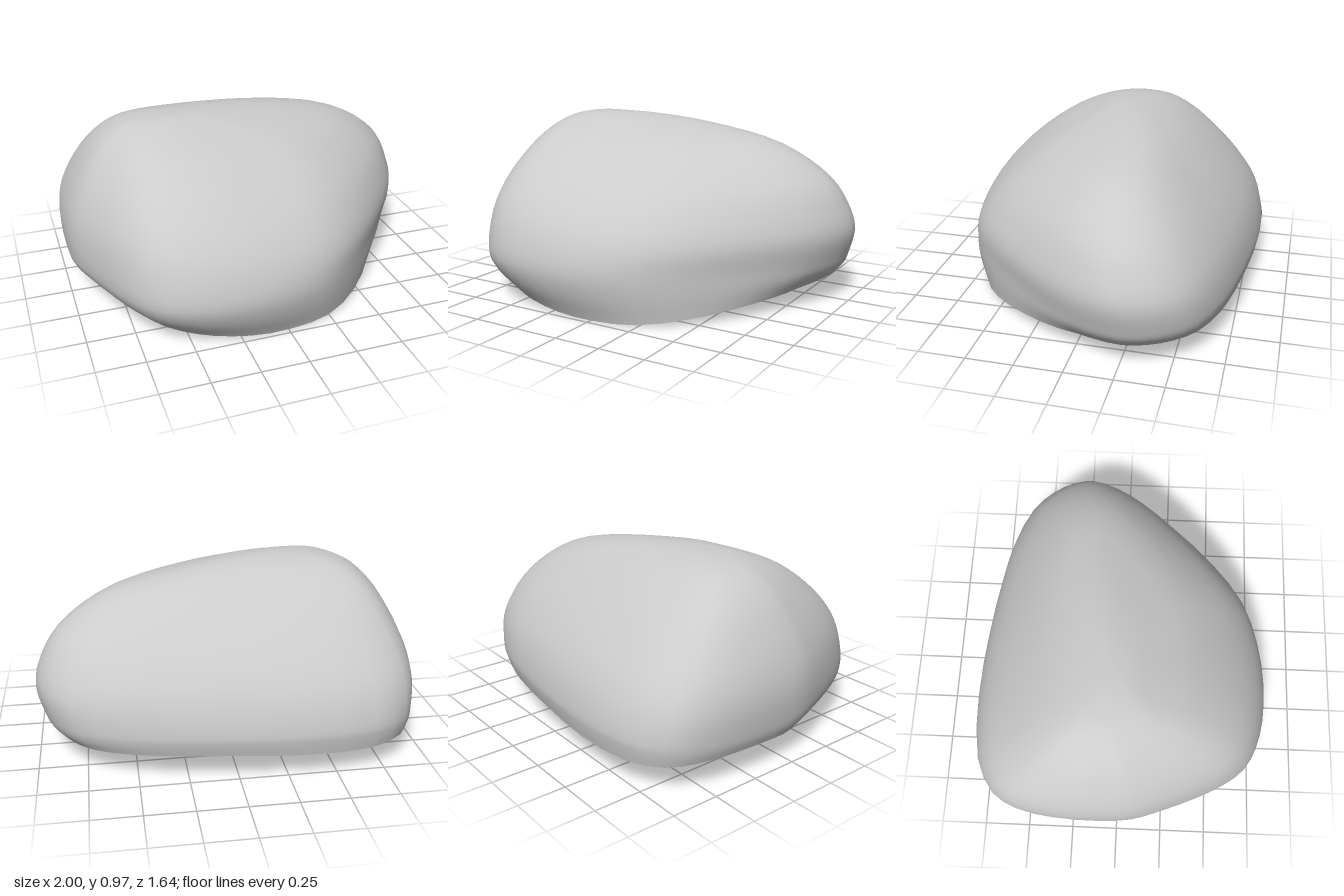
import * as THREE from 'three';

// Widest outline in plan (x, z), running from the back round the left side
const OUTLINE = [
  [-0.68, -0.79], [-0.32, -0.82], [0.05, -0.795], [0.37, -0.75], [0.6, -0.7], [0.81, -0.61],
  [0.92, -0.5], [0.98, -0.38], [1, -0.25], [0.95, -0.07], [0.86, 0.1], [0.7, 0.31],
  [0.49, 0.54], [0.27, 0.71], [0.05, 0.785], [-0.18, 0.815], [-0.4, 0.805], [-0.56, 0.765],
  [-0.68, 0.7], [-0.77, 0.59], [-0.85, 0.44], [-0.94, 0.22], [-0.985, 0.08], [-1, -0.1],
  [-0.99, -0.35], [-0.95, -0.55], [-0.87, -0.69],
];

// Level rings above the rim: height, centre x, scale x, centre z, scale z
const RINGS = [
  [0.25, -0.012, 0.983, 0, 1],
  [0.38, 0, 1, 0, 0.965],
  [0.5, -0.005, 0.975, -0.005, 0.89],
  [0.65, -0.02, 0.9, -0.015, 0.735],
  [0.82, -0.09, 0.72, -0.035, 0.49],
  [0.92, -0.23, 0.45, -0.055, 0.27],
  [0.962, -0.32, 0.2, -0.045, 0.12],
  [0.972, -0.32, 0, -0.04, 0],
];

const AROUND = 54, STEPS = 4;

// How far a plan point lies into the corner on the given sides
const corner = (p, sx, sz) => Math.max(0, p.x * sx) * Math.max(0, p.z * sz);

// The open rim: tucked in at the front right, flared at the front left
function rimPoint(p) {
  const tuck = 1 - 0.15 * corner(p, -1, 1), flare = 0.17 * corner(p, 1, 1);
  const x = (-0.04 + p.x * 0.93) * tuck + flare;
  const z = (-0.03 + p.z * 0.945) * tuck + flare;
  const y = 0.102 - 0.104 * z - 0.055 * z * z + (x < 0 ? 0.05 * x * x : 0)
    + 0.07 * corner(p, -1, 1) - 0.06 * corner(p, -1, -1);
  return new THREE.Vector3(x, Math.max(0, y), z);
}

// A ring point, lifted at the full front right shoulder
function ringPoint(p, [y, cx, sx, cz, sz]) {
  const t = (y - 0.25) / 0.722;
  const lift = t * (1 - t) * (0.42 * corner(p, -1, 1) - 0.12 * corner(p, -1, -1));
  return new THREE.Vector3(cx + p.x * sx, y + lift, cz + p.z * sz);
}

// One smooth meridian from the rim to the crown
function meridian(p) {
  const rim = rimPoint(p);
  const rings = RINGS.map(ring => ringPoint(p, ring));
  // Rounds the wall where it turns under towards the rim
  const under = rim.clone().lerp(rings[0], 0.7);
  under.y = (rim.y + rings[0].y) / 2;
  return new THREE.CatmullRomCurve3([rim, under, ...rings]);
}

function shellGeometry() {
  const outline = new THREE.CatmullRomCurve3(
    OUTLINE.map(([x, z]) => new THREE.Vector3(x, 0, z)), true);
  const crown = (RINGS.length + 1) * STEPS, rows = crown + 1;
  const positions = [], index = [];

  for (let i = 0; i < AROUND; i++) {
    const p = outline.getPoint(i / AROUND);
    for (const q of meridian(p).getPoints(crown)) positions.push(q.x, q.y, q.z);
  }

  // Join neighbouring meridians; the crown closes to a single shared vertex
  const at = (i, j) => (j === crown ? crown : (i % AROUND) * rows + j);
  for (let i = 0; i < AROUND; i++) {
    for (let j = 0; j < crown; j++) {
      const a = at(i, j), b = at(i + 1, j), c = at(i + 1, j + 1), d = at(i, j + 1);
      index.push(a, d, b);
      if (c !== d) index.push(d, c, b);
    }
  }

  const geometry = new THREE.BufferGeometry();
  geometry.setAttribute('position', new THREE.Float32BufferAttribute(positions, 3));
  geometry.setIndex(index);
  geometry.computeVertexNormals();
  return geometry;
}

export function createModel() {
  const group = new THREE.Group();
  group.name = 'boulder';
  // Hollow, thin shell, open underneath
  const shell = new THREE.Mesh(shellGeometry(),
    new THREE.MeshStandardMaterial({ color: 0xcccccc, side: THREE.DoubleSide }));
  shell.name = 'boulderShell';
  group.add(shell);
  return group;
}
